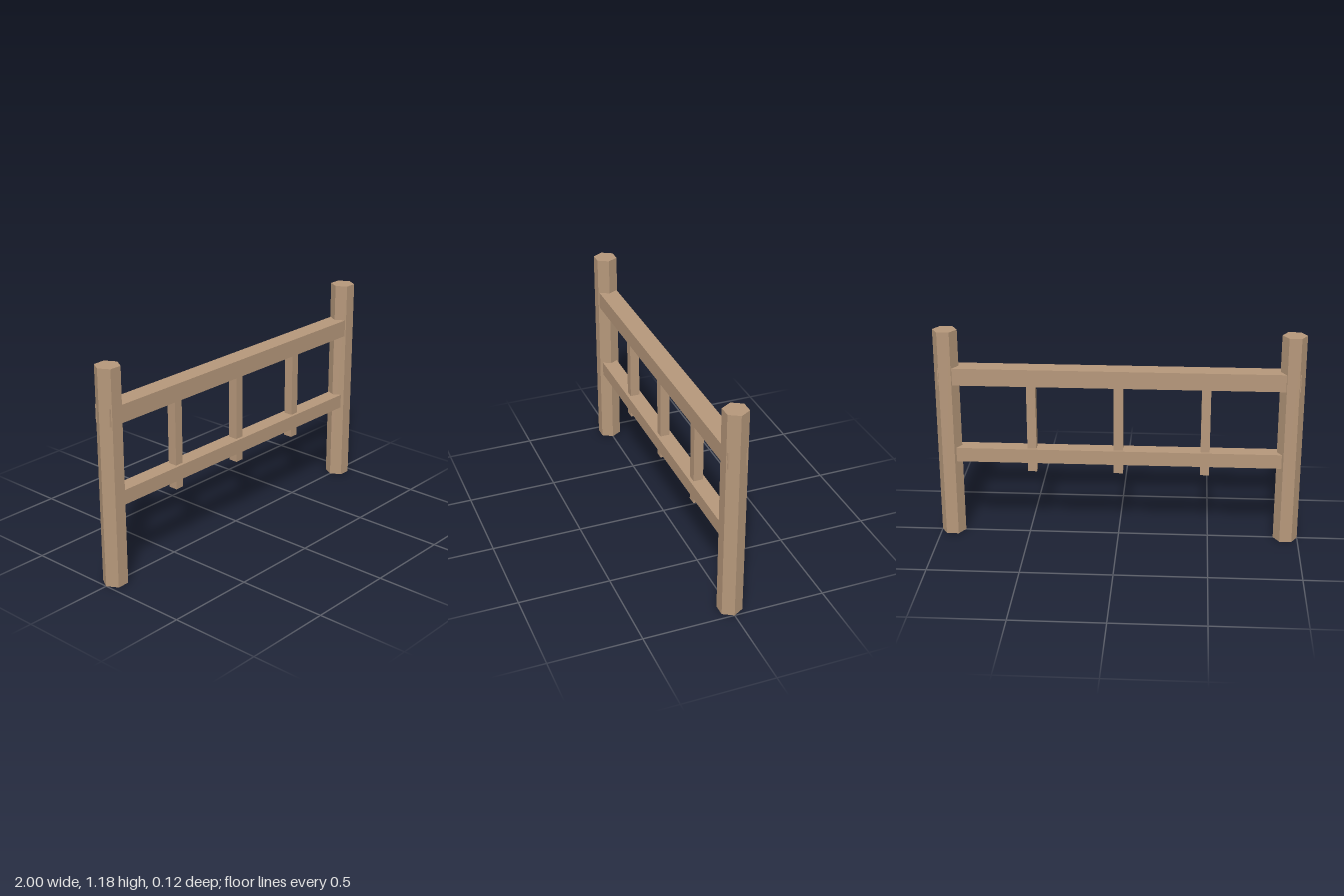
import * as THREE from 'three';

export function createModel() {
  const model = new THREE.Group();
  model.name = 'fence';
  const wood = new THREE.MeshStandardMaterial({ color: 0xb5977a, flatShading: true });

  const add = (name, geometry, x, y) => {
    const mesh = new THREE.Mesh(geometry, wood);
    mesh.name = name;
    mesh.position.set(x, y, 0);
    model.add(mesh);
    return mesh;
  };

  // Hexagonal posts, corners pointing along x
  const postHeight = 1.185, postRadius = 0.067;
  const postGeometry = new THREE.CylinderGeometry(postRadius, postRadius, postHeight, 6);
  postGeometry.rotateY(Math.PI / 6);
  for (const [name, side] of [['rightPost', -1], ['leftPost', 1]]) {
    add(name, postGeometry, side * (1 - postRadius), postHeight / 2);
  }

  // Rails run into the posts; the thicker top one just breaks through their outer faces
  const railLength = 1.948;
  add('topRail', new THREE.BoxGeometry(railLength, 0.096, 0.106), 0, 0.933);
  add('lowerRail', new THREE.BoxGeometry(railLength, 0.08, 0.088), 0, 0.477);

  // Balusters hang from the top rail through the lower one
  const bottom = 0.38, top = 0.93;
  const balusterGeometry = new THREE.BoxGeometry(0.05, top - bottom, 0.053);
  for (const i of [-1, 0, 1]) {
    add('baluster', balusterGeometry, i * 0.475, (top + bottom) / 2);
  }

  return model;
}
